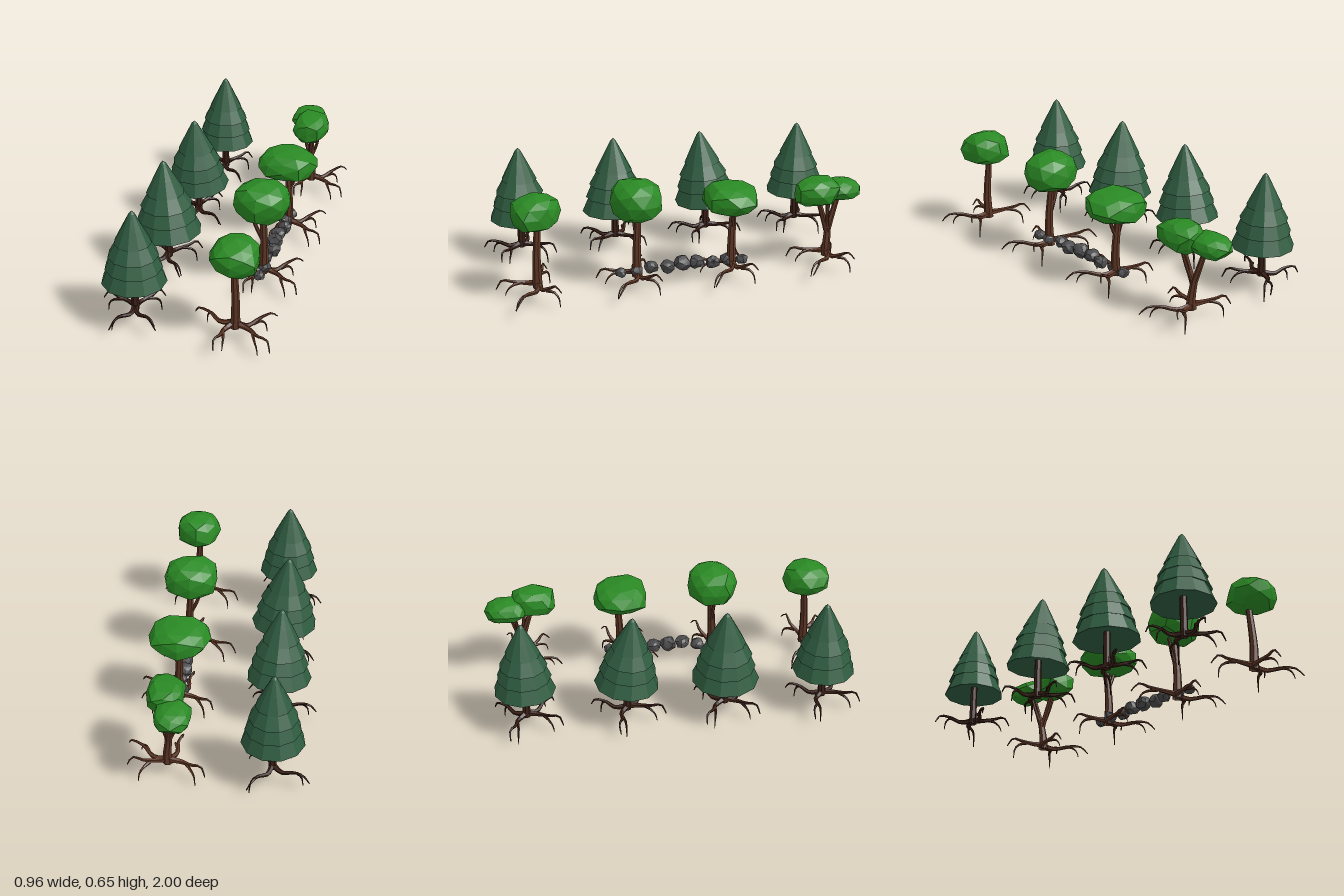
import * as THREE from 'three';

const mat = (color) => new THREE.MeshStandardMaterial({ color, flatShading: true, side: THREE.DoubleSide });
const pineGreen = mat(0x2f5c40), leafGreen = mat(0x2a8a24), bark = mat(0x5c3524), darkBark = mat(0x3a1f16), stone = mat(0x4c4c4e);

function rng(seed) {
  let s = seed * 7919 + 17;
  return () => (s = (s * 16807) % 2147483647) / 2147483647;
}

function add(parent, name, geometry, material) {
  const mesh = new THREE.Mesh(geometry, material);
  mesh.name = name;
  parent.add(mesh);
  return mesh;
}

// Tapered limb along a smooth path
function limb(points, r0, r1, sides = 6, steps = 8) {
  const curve = new THREE.CatmullRomCurve3(points.map((p) => new THREE.Vector3(...p)));
  const geo = new THREE.TubeGeometry(curve, steps, 1, sides, false);
  const pos = geo.attributes.position, v = new THREE.Vector3();
  for (let i = 0; i < pos.count; i++) {
    const t = Math.floor(i / (sides + 1)) / steps;
    const c = curve.getPointAt(t);
    v.fromBufferAttribute(pos, i).sub(c).multiplyScalar(r0 + (r1 - r0) * Math.pow(t, 0.8)).add(c);
    pos.setXYZ(i, v.x, v.y, v.z);
  }
  geo.computeVertexNormals();
  return geo;
}

// Faceted lump: icosphere made boxier by the power, with a repeatable offset per corner
function lump(size, seed, amount, power) {
  const geo = new THREE.IcosahedronGeometry(1, 1);
  const pos = geo.attributes.position, v = new THREE.Vector3(), offsets = new Map(), rand = rng(seed);
  const boxy = (n) => Math.sign(n) * Math.pow(Math.abs(n), power);
  for (let i = 0; i < pos.count; i++) {
    v.fromBufferAttribute(pos, i);
    const key = v.toArray().map((n) => Math.round(n * 100) + 0).join();
    if (!offsets.has(key)) offsets.set(key, 1 + (rand() - 0.5) * amount);
    const k = offsets.get(key);
    pos.setXYZ(i, boxy(v.x) * k * size[0], boxy(v.y) * k * size[1], boxy(v.z) * k * size[2]);
  }
  geo.computeVertexNormals();
  return geo;
}

// Roots reach out to each tip [x, z, lift] and bend down like claws, each with a drooping twig
function addRoots(tree, tips, radius, material) {
  tips.forEach(([x, z, lift], i) => {
    const s = i % 2 ? 0.1 : -0.1;
    const at = (t, side, y) => [x * t - z * side, y, z * t + x * side];
    add(tree, 'root', limb([at(0, 0, 0.11), at(0.3, s, 0.1), at(0.6, s * 0.3, 0.115 + lift * 0.4),
      at(0.86, s * 0.6, 0.12 + lift), at(1, 0, 0.075 + lift * 1.4)], radius, 0.003, 5, 10), material);
    add(tree, 'rootTwig', limb([at(0.45, s * 0.6, 0.105), at(0.62, -s * 0.5, 0.1),
      at(0.74, -s * 0.9, 0.075), at(0.78, -s, 0.015 + i * 0.012)], radius * 0.6, 0.002, 5, 6), material);
  });
}

// Stacked skirts, each [rim radius, rim height] flaring below the next, under a pointed tip
function skirtGeometry(radius, height, turn) {
  const tiers = [[1, 0], [0.88, 0.2], [0.77, 0.375], [0.57, 0.555], [0, 1]];
  const points = [new THREE.Vector2(0, 0.05)];
  const put = (r, h) => points.push(new THREE.Vector2(r * radius, h * height));
  for (let i = 0; i < 4; i++) {
    const [rim, y] = tiers[i], [nextRim, nextY] = tiers[i + 1];
    put(rim * 0.88, y + 0.02);
    put(rim, y);
    if (nextRim) put(nextRim * 0.88, nextY + 0.02);
  }
  put(0.33, 0.76);
  put(0.09, 0.96);
  put(0, 1);
  return new THREE.LatheGeometry(points, 11, turn);
}

function makePine(z, radius, skirtY, tiltX, tiltZ, turn) {
  const tree = new THREE.Group();
  tree.name = 'pineTree';
  tree.position.set(-0.28, 0, z);
  add(tree, 'trunk', limb([[0, 0.09, 0], [0, 0.34, 0]], 0.022, 0.018, 7, 3), darkBark);
  const roots = new THREE.Group();
  roots.name = 'roots';
  roots.rotation.y = turn;
  addRoots(roots, [[0.12, -0.165, 0], [-0.19, -0.09, 0], [-0.09, 0.19, 0], [0.14, 0.15, 0]], 0.017, darkBark);
  tree.add(roots);
  const needles = add(tree, 'needleSkirts', skirtGeometry(radius, 0.668 - skirtY, turn), pineGreen);
  needles.position.y = skirtY;
  needles.rotation.set(tiltX, 0, tiltZ);
  return tree;
}

// Crown lumps are { at, size }; each branch leaves the trunk at forkY and ends at a given point
function makeLeafyTree(z, trunkTop, forkY, branchEnds, crown, leftReach, seed) {
  const tree = new THREE.Group();
  tree.name = 'leafyTree';
  tree.position.set(0.245, 0, z);
  add(tree, 'trunk', limb([[0.005, 0.085, 0.004], [0.008, trunkTop * 0.5, 0.006], [-0.004, trunkTop, -0.006]], 0.027, 0.017, 7, 6), bark);
  branchEnds.forEach(([x, y, bz, r]) => {
    add(tree, 'branch', limb([[0, forkY, 0], [x * 0.6, (forkY + y) / 2, bz * 0.5], [x, y, bz]], r, r * 0.75, 6, 5), bark);
  });
  addRoots(tree, [[-leftReach, -0.085, 0], [0.2, -0.085, 0.04], [0.225, 0.155, 0], [-0.045, 0.215, 0]], 0.018, bark);
  crown.forEach(({ at, size }, i) => {
    add(tree, 'leafCrown', lump(size, seed * 5 + i, 0.16, 0.82), leafGreen).position.set(...at);
  });
  return tree;
}

export function createModel() {
  const model = new THREE.Group();
  model.name = 'treeRows';

  // Row of pines, back to front
  model.add(
    makePine(-0.81, 0.163, 0.265, 0, 0, 0),
    makePine(-0.275, 0.172, 0.262, 0.09, 0.02, 0.2),
    makePine(0.25, 0.18, 0.252, 0, 0.05, -0.15),
    makePine(0.78, 0.168, 0.265, 0, 0, 0.1),
  );

  // Row of leafy trees, back to front; the rearmost forks under a two-lobed crown
  model.add(
    makeLeafyTree(-0.81, 0.26, 0.22, [[0.015, 0.42, 0.065, 0.018], [-0.015, 0.42, -0.06, 0.018],
      [0.055, 0.41, 0.03, 0.011], [-0.06, 0.41, -0.03, 0.011]], [
      { at: [-0.035, 0.45, -0.075], size: [0.092, 0.06, 0.112] },
      { at: [0.015, 0.468, 0.075], size: [0.098, 0.078, 0.125] },
    ], 0.19, 1),
    makeLeafyTree(-0.27, 0.44, 0.29, [[0.05, 0.42, 0.01, 0.012]], [{ at: [0, 0.475, 0.01], size: [0.155, 0.083, 0.15] }], 0.18, 2),
    makeLeafyTree(0.25, 0.45, 0.28, [[-0.06, 0.43, 0.01, 0.012]], [{ at: [-0.01, 0.515, 0], size: [0.142, 0.105, 0.132] }], 0.26, 3),
    makeLeafyTree(0.78, 0.44, 0.3, [], [{ at: [0.01, 0.508, 0.005], size: [0.125, 0.092, 0.126] }], 0.23, 4),
  );

  // Line of stones between the two middle leafy trees, largest at the centre
  for (let i = 0; i < 9; i++) {
    const z = 0.34 - i * 0.083;
    const r = 0.044 - Math.abs(z) * 0.04;
    const rock = add(model, 'stone', lump([r, r * 0.9, r], i + 40, 0.3, 1), stone);
    rock.position.set(0.25 + 0.012 * Math.sin(i * 2.4), 0.085 + r, z);
    rock.rotation.y = i * 1.3;
  }
  return model;
}
